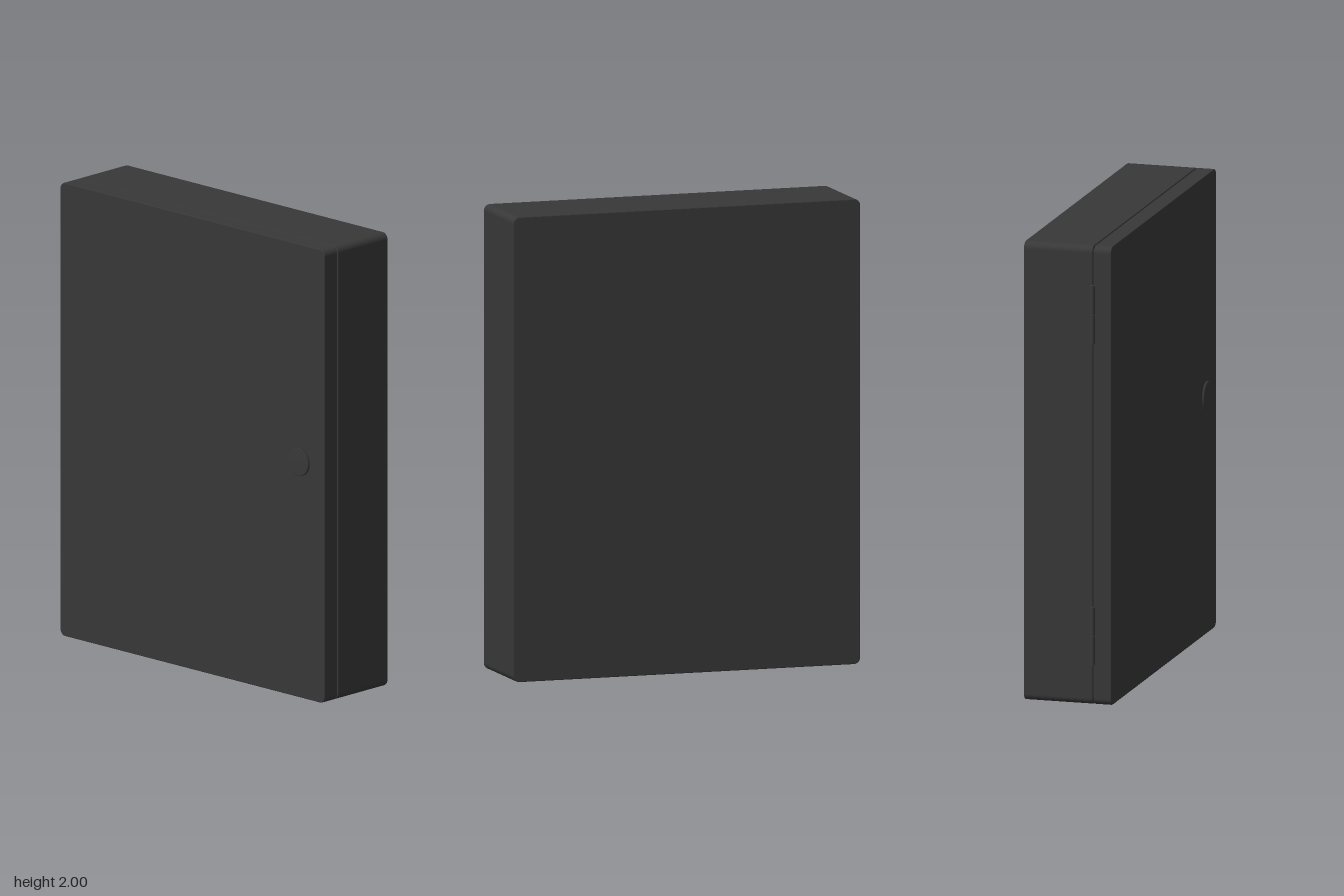
import * as THREE from 'three';

const Z0 = -0.77, Z1 = 0.79, HEIGHT = 2;

// Rounded rectangle in the z/y plane, extruded along x from x0 to x1
function slab(name, x0, x1, inset, radius, bevel, material) {
  const i = inset + bevel, r = radius;
  const l = -Z1 + i, rt = -Z0 - i, b = i, t = HEIGHT - i;
  const s = new THREE.Shape();
  s.moveTo(l + r, b);
  s.lineTo(rt - r, b);
  s.absarc(rt - r, b + r, r, -Math.PI / 2, 0);
  s.absarc(rt - r, t - r, r, 0, Math.PI / 2);
  s.absarc(l + r, t - r, r, Math.PI / 2, Math.PI);
  s.absarc(l + r, b + r, r, Math.PI, Math.PI * 1.5);
  const geometry = new THREE.ExtrudeGeometry(s, {
    depth: x1 - x0 - 2 * bevel, curveSegments: 4,
    bevelEnabled: bevel > 0, bevelSize: bevel, bevelThickness: bevel, bevelSegments: 2,
  });
  geometry.translate(0, 0, x0 + bevel);
  geometry.rotateY(Math.PI / 2); // shape x becomes -z, depth becomes x
  const mesh = new THREE.Mesh(geometry, material);
  mesh.name = name;
  return mesh;
}

export function createModel() {
  const group = new THREE.Group();
  group.name = 'wallCabinet';
  const paint = new THREE.MeshStandardMaterial({ color: 0x383838 });

  // Deep case, recessed gasket and shallow door
  group.add(
    slab('case', -0.108, 0.197, 0, 0.025, 0.003, paint),
    slab('gasket', -0.12, -0.1, 0.012, 0.02, 0, paint),
    slab('door', -0.19, -0.113, 0, 0.025, 0.003, paint),
  );

  // Round lock near the free edge of the door
  const profile = [[0, 0], [0.062, 0], [0.062, 0.009], [0.059, 0.012], [0, 0.012]]
    .map(([x, y]) => new THREE.Vector2(x, y));
  const lock = new THREE.Mesh(new THREE.LatheGeometry(profile, 40), paint);
  lock.name = 'lock';
  lock.rotation.z = Math.PI / 2;
  lock.position.set(-0.188, 1.04, 0.64);
  group.add(lock);

  // Two barrel hinges on the back edge, each with two knuckles around a pin
  for (const y of [0.302, 1.705]) {
    const hinge = new THREE.Group();
    hinge.name = 'hinge';
    hinge.position.set(-0.11, y, -0.779);
    for (const side of [-1, 1]) {
      const knuckle = new THREE.Mesh(new THREE.CylinderGeometry(0.011, 0.011, 0.126, 16), paint);
      knuckle.name = 'knuckle';
      knuckle.position.y = side * 0.064;
      hinge.add(knuckle);
    }
    const pin = new THREE.Mesh(new THREE.CylinderGeometry(0.007, 0.007, 0.25, 12), paint);
    pin.name = 'pin';
    hinge.add(pin);
    group.add(hinge);
  }
  return group;
}
